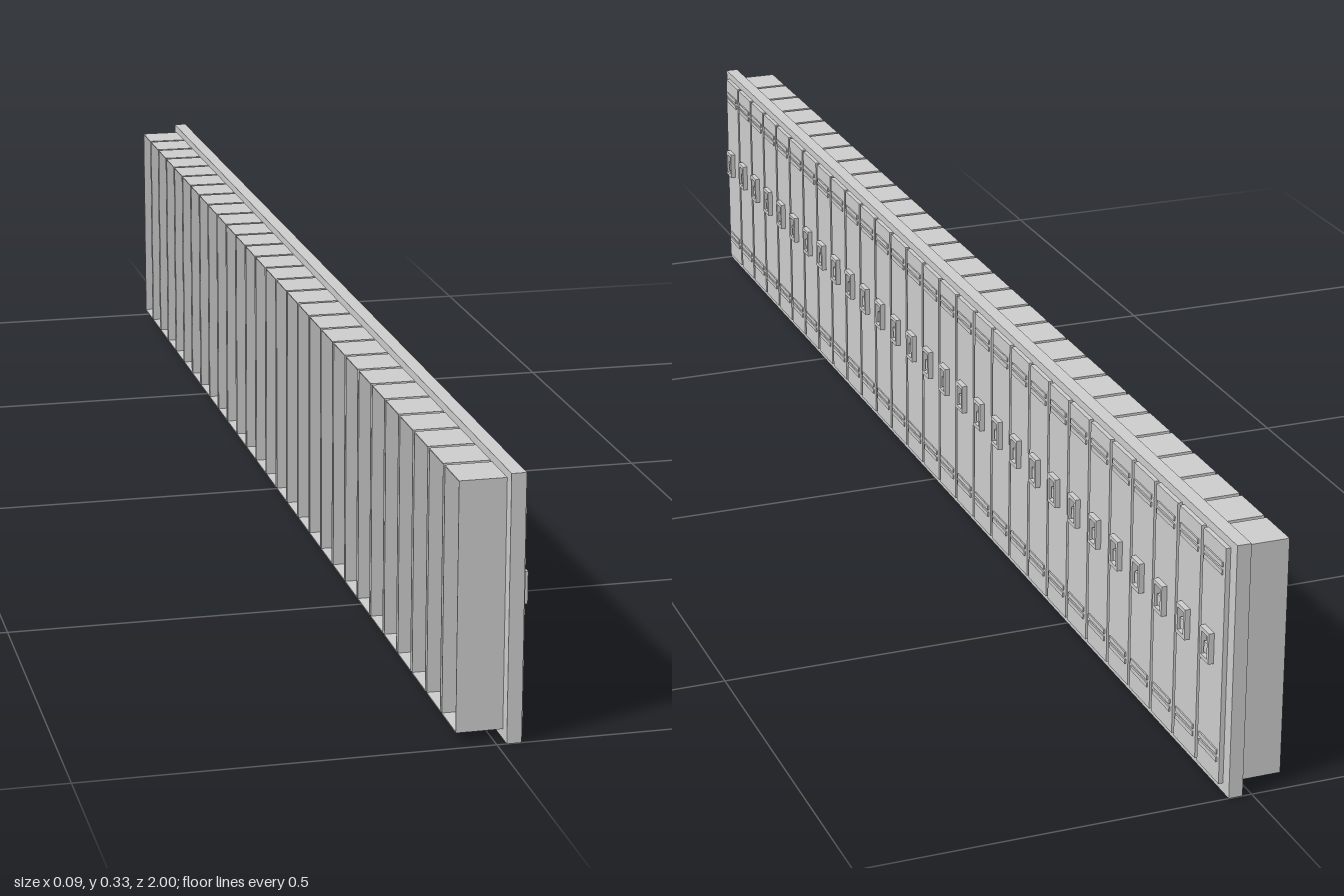
import * as THREE from 'three';

const COUNT = 29, PITCH = 0.068, MID_Y = 0.166;
const grey = new THREE.MeshStandardMaterial({ color: 0xcccccc });

// Rectangular ring (z wide, y tall) running along x from x0 to x1
function ringGeometry(w, h, wall, x0, x1) {
  const rect = (T, a, b) => {
    const p = new T();
    p.moveTo(-a / 2, -b / 2);
    p.lineTo(a / 2, -b / 2);
    p.lineTo(a / 2, b / 2);
    p.lineTo(-a / 2, b / 2);
    p.closePath();
    return p;
  };
  const shape = rect(THREE.Shape, w, h);
  shape.holes.push(rect(THREE.Path, w - 2 * wall, h - 2 * wall));
  const g = new THREE.ExtrudeGeometry(shape, { depth: x1 - x0, bevelEnabled: false });
  return g.rotateY(Math.PI / 2).translate(x0, 0, 0);
}

// Box spanning x0..x1, centred on y and z
function slab(x0, x1, h, w) {
  return new THREE.BoxGeometry(x1 - x0, h, w).translate((x0 + x1) / 2, 0, 0);
}

function add(parent, name, geometry, y = 0, z = 0) {
  const m = new THREE.Mesh(geometry, grey);
  m.name = name;
  m.position.set(0, y, z);
  parent.add(m);
}

export function createModel() {
  const model = new THREE.Group();
  model.name = 'lockerRow';

  // Long panel that carries every locker
  add(model, 'frontPanel', slab(0.012, 0.03, 0.33, 2), 0.165);

  const shell = ringGeometry(0.062, 0.308, 0.0015, -0.045, 0.012);
  const door = slab(0.03, 0.036, 0.308, 0.062);
  const louver = slab(0.036, 0.0378, 0.006, 0.05);
  const handleRim = ringGeometry(0.026, 0.04, 0.005, 0.036, 0.043);
  const latch = slab(0.036, 0.041, 0.014, 0.009);

  for (let i = 0; i < COUNT; i++) {
    const locker = new THREE.Group();
    locker.name = 'locker' + (i + 1);
    locker.position.z = (i - (COUNT - 1) / 2) * PITCH;
    model.add(locker);

    // Open-backed compartment and its door
    add(locker, 'compartment', shell, MID_Y);
    add(locker, 'door', door, MID_Y);

    // Vent strips near the top and bottom
    for (const y of [0.042, 0.052, 0.287, 0.297]) add(locker, 'ventStrip', louver, y);

    // Handle surround with the latch inside
    add(locker, 'handleRim', handleRim, 0.18, 0.006);
    add(locker, 'latch', latch, 0.176, 0.006);
  }
  return model;
}
